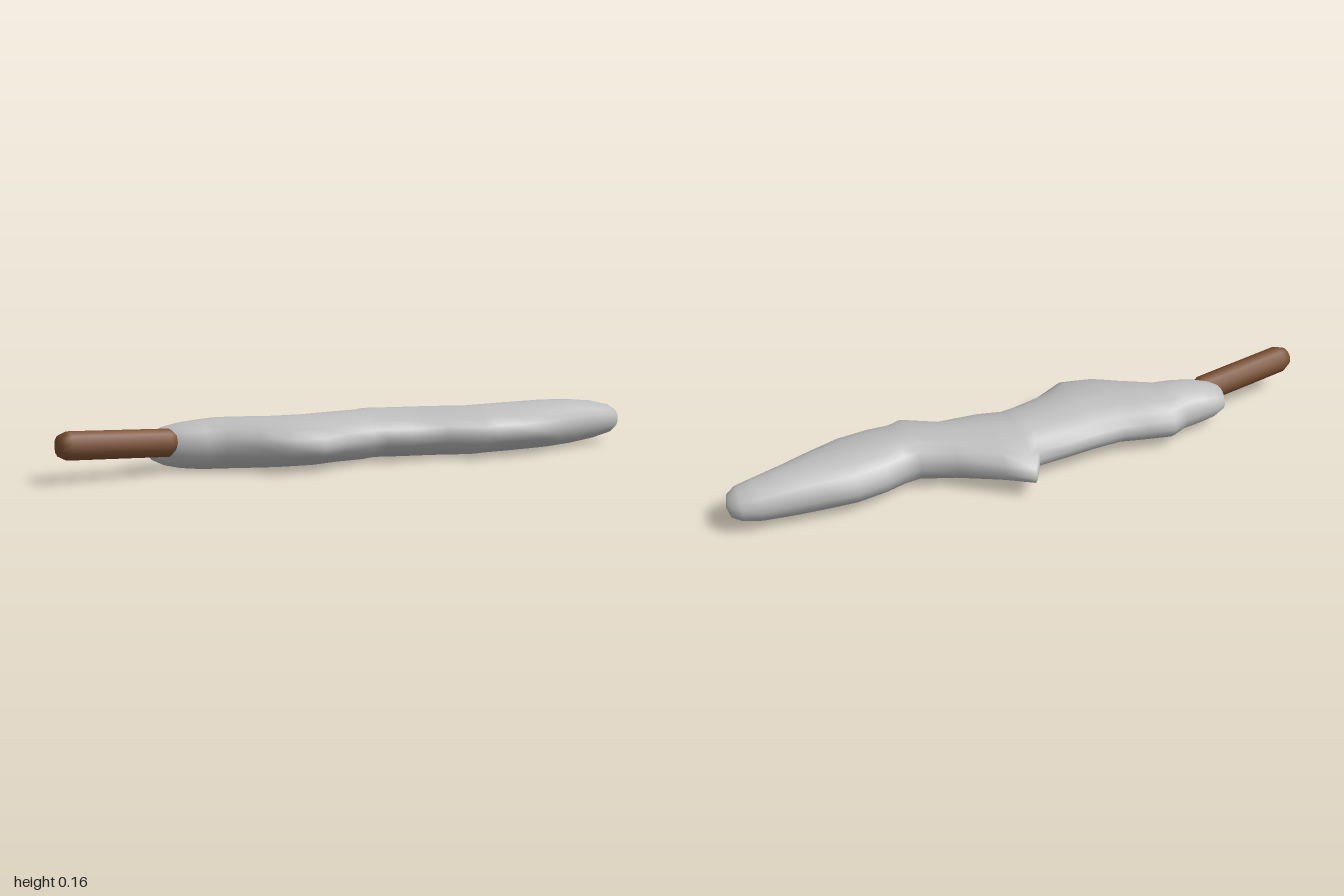
import * as THREE from 'three';

const SIDES = 18;

// Body outline seen from above: [x, zBack, zFront]
const OUTLINE = [
  [-0.695, -0.06, -0.02], [-0.685, -0.083, 0], [-0.65, -0.1, 0.025], [-0.6, -0.108, 0.05],
  [-0.53, -0.117, 0.07], [-0.47, -0.15, 0.085], [-0.38, -0.135, 0.145], [-0.3, -0.12, 0.205],
  [-0.2, -0.125, 0.225], [-0.1, -0.134, 0.165], [0.01, -0.14, 0.126], [0.055, -0.23, 0.13],
  [0.14, -0.175, 0.145], [0.27, -0.09, 0.14], [0.38, -0.05, 0.21], [0.43, -0.054, 0.19],
  [0.5, -0.08, 0.197], [0.6, -0.1, 0.185], [0.7, -0.092, 0.14], [0.8, -0.085, 0.1],
  [0.9, -0.08, 0.072], [0.96, -0.068, 0.06], [0.99, -0.048, 0.035],
];

// Half thickness: even along the middle, rounded off towards both ends
function halfThickness(x) {
  const t = Math.min(1, (x + 0.7) / 0.25, (1 - x) / 0.35);
  return 0.081 * Math.pow(1 - (1 - t) ** 2, 0.3);
}

// Joins the cross-sections into one smooth closed skin
function loftBody() {
  const pos = [], index = [];
  const n = OUTLINE.length;
  for (const [x, zBack, zFront] of OUTLINE) {
    const ridge = 0.3 * (zBack + zFront) + 0.4 * 0.01;
    for (let j = 0; j < SIDES; j++) {
      const a = (j / SIDES) * Math.PI * 2, c = Math.cos(a);
      const reach = (c > 0 ? zFront : zBack) - ridge;
      // Far-reaching sides are pinched into pointed knobs
      const pinch = 1 + 5 * Math.max(0, Math.abs(reach) - 0.12);
      pos.push(x, 0.085 + halfThickness(x) * Math.sin(a), ridge + reach * Math.pow(Math.abs(c), pinch));
    }
  }
  for (let i = 0; i < n - 1; i++) {
    for (let j = 0; j < SIDES; j++) {
      const k = (j + 1) % SIDES;
      const a = i * SIDES + j, b = a + SIDES, c = i * SIDES + k, d = c + SIDES;
      index.push(a, b, c, b, d, c);
    }
  }
  // Rounded end caps
  const start = n * SIDES, end = start + 1, last = (n - 1) * SIDES;
  pos.push(-0.698, 0.085, -0.04, 1, 0.085, -0.005);
  for (let j = 0; j < SIDES; j++) {
    const k = (j + 1) % SIDES;
    index.push(start, j, k, end, last + k, last + j);
  }
  const geo = new THREE.BufferGeometry();
  geo.setAttribute('position', new THREE.Float32BufferAttribute(pos, 3));
  geo.setIndex(index);
  geo.computeVertexNormals();
  return geo;
}

export function createModel() {
  const stone = new THREE.MeshStandardMaterial({ color: 0xbdbdbd });
  stone.name = 'paleStone';
  const wood = new THREE.MeshStandardMaterial({ color: 0x7a4e30 });
  wood.name = 'brownWood';

  const model = new THREE.Group();
  model.name = 'knobbyClub';

  // Lumpy flattened body
  const body = new THREE.Mesh(loftBody(), stone);
  body.name = 'body';
  model.add(body);

  // Round handle with bevelled ends, tilted into the body
  const from = new THREE.Vector3(-0.994, 0.119, 0.062);
  const to = new THREE.Vector3(-0.615, 0.098, 0.004);
  const length = from.distanceTo(to);
  const profile = [[0, 0], [0.032, 0], [0.046, 0.03], [0.046, length - 0.03], [0.03, length], [0, length]]
    .map(([r, y]) => new THREE.Vector2(r, y));
  const handle = new THREE.Mesh(new THREE.LatheGeometry(profile, 10), wood);
  handle.name = 'handle';
  handle.position.copy(from);
  handle.quaternion.setFromUnitVectors(new THREE.Vector3(0, 1, 0), to.clone().sub(from).normalize());
  model.add(handle);

  return model;
}
